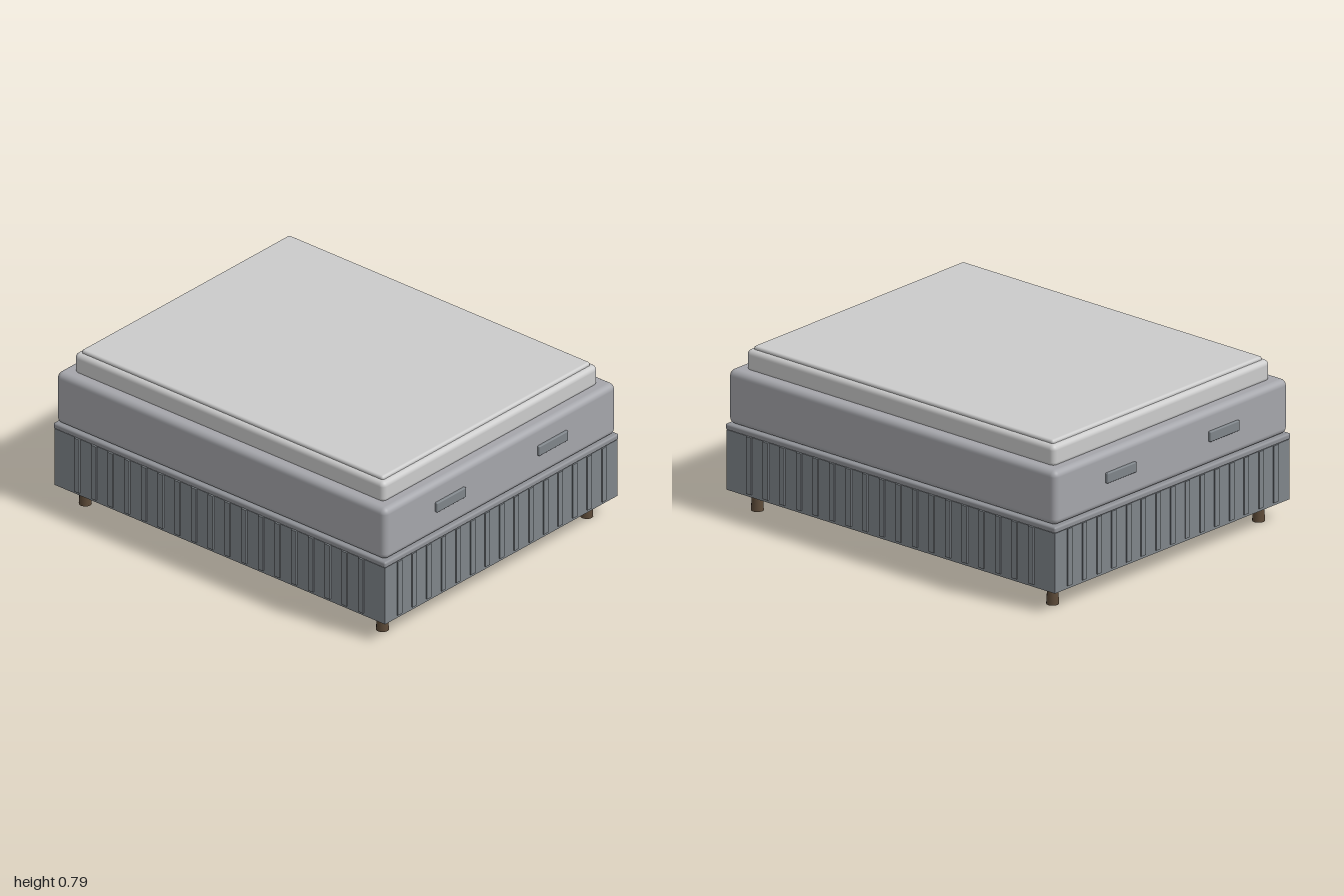
import * as THREE from 'three';
import { RoundedBoxGeometry } from 'three/addons/geometries/RoundedBoxGeometry.js';

const material = (color) => new THREE.MeshStandardMaterial({ color });
const fabric = material(0x7f858a);
const trim = material(0x8f9196);
const ticking = material(0xa5a6ab);
const cover = material(0xc6c6c4);
const wood = material(0x5c4a38);

export function createModel() {
  const bed = new THREE.Group();
  bed.name = 'bed';

  const add = (name, geometry, mat, x, y, z, parent = bed) => {
    const mesh = new THREE.Mesh(geometry, mat);
    mesh.name = name;
    mesh.position.set(x, y, z);
    parent.add(mesh);
  };

  // Soft slab between two heights, with rounded edges
  const slab = (name, width, y0, y1, depth, radius, mat) =>
    add(name, new RoundedBoxGeometry(width, y1 - y0, depth, 4, radius), mat, 0, (y0 + y1) / 2, 0);

  // Box base, piping, mattress and topper
  add('base', new THREE.BoxGeometry(1.594, 0.29, 1.98), fabric, 0, 0.245, 0);
  slab('piping', 1.604, 0.39, 0.42, 1.99, 0.01, trim);
  slab('mattress', 1.588, 0.42, 0.682, 1.974, 0.03, ticking);
  slab('topper', 1.474, 0.67, 0.777, 1.856, 0.025, cover);
  slab('topPanel', 1.426, 0.765, 0.793, 1.806, 0.012, cover);

  // Skirt pleats on all four sides
  const pleats = new THREE.Group();
  pleats.name = 'skirtPleats';
  bed.add(pleats);
  const endPleat = new THREE.BoxGeometry(0.03, 0.276, 0.016);
  const sidePleat = new THREE.BoxGeometry(0.016, 0.276, 0.03);
  for (const side of [-1, 1]) {
    for (let i = -7; i <= 7; i++) add('endPleat', endPleat, fabric, i * 0.1, 0.252, side * 0.988);
    for (let i = 0; i < 18; i++) add('sidePleat', sidePleat, fabric, side * 0.797, 0.252, -0.85 + i * 0.1);
  }

  // Mattress handles at both ends, and tapered feet at the corners
  const handle = new RoundedBoxGeometry(0.2, 0.05, 0.024, 2, 0.005);
  const foot = new THREE.CylinderGeometry(0.024, 0.03, 0.1, 12);
  for (const sx of [-1, 1]) {
    for (const sz of [-1, 1]) {
      add('handle', handle, fabric, sx * 0.35, 0.558, sz * 0.988);
      add('foot', foot, wood, sx * 0.7, 0.05, sz * 0.89);
    }
  }
  return bed;
}
